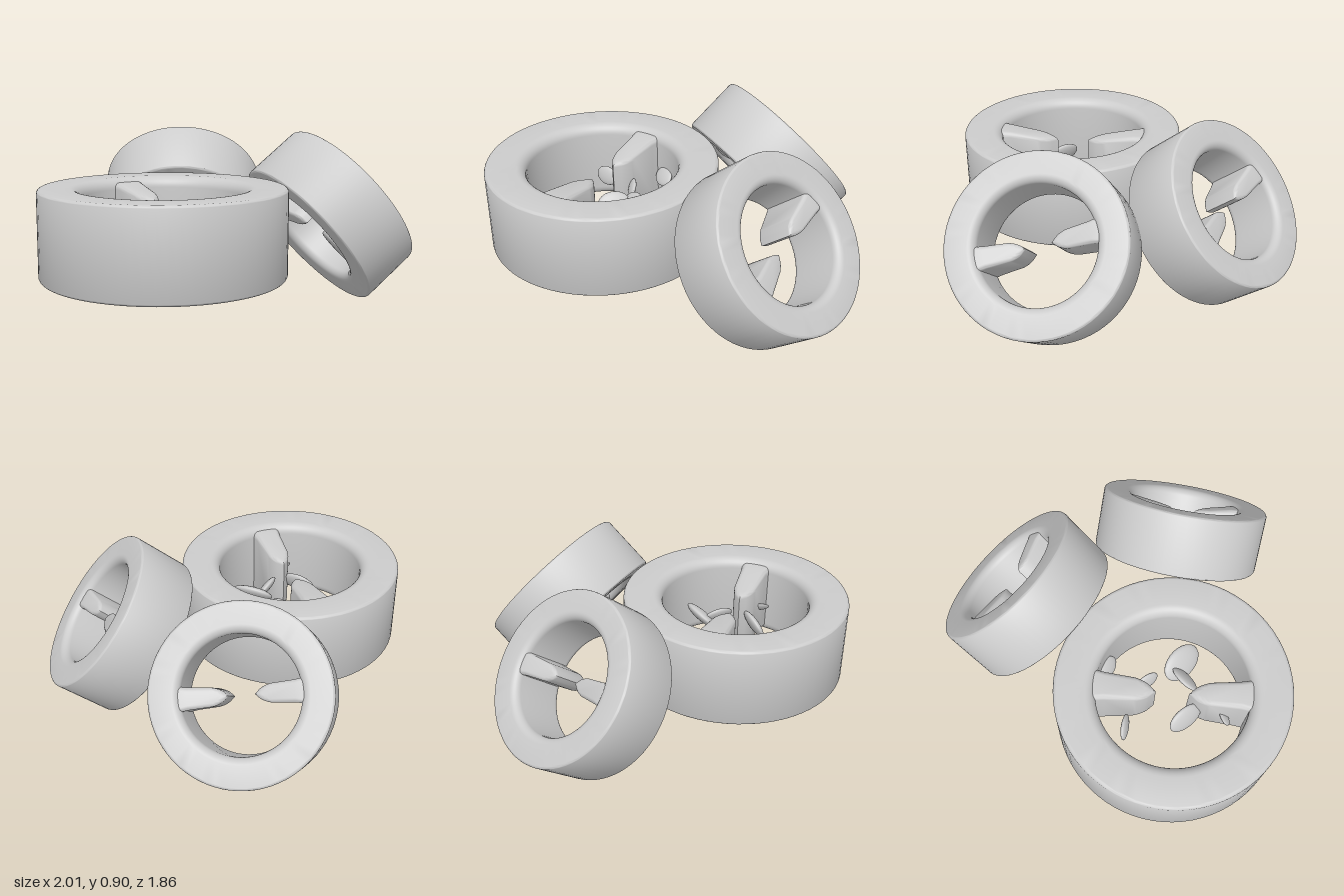
import * as THREE from 'three';
import { toCreasedNormals } from 'three/addons/utils/BufferGeometryUtils.js';

const material = new THREE.MeshStandardMaterial({ color: 0xcccccc });
const OUTER = 0.605, BORE = 0.395, HALF = 0.22;

// Lathed ring body: small outer rounding, broad rounding into the bore
function bodyGeometry() {
  const pts = [];
  const corner = (r, y, rad, from) => {
    for (let i = 0; i <= 8; i++) {
      const a = from + (i / 8) * Math.PI / 2;
      pts.push(new THREE.Vector2(r + rad * Math.cos(a), y + rad * Math.sin(a)));
    }
  };
  const o = 0.02, b = 0.055;
  corner(OUTER - o, -HALF + o, o, -Math.PI / 2);
  corner(OUTER - o, HALF - o, o, 0);
  corner(BORE + b, HALF - b, b, Math.PI / 2);
  corner(BORE + b, -HALF + b, b, Math.PI);
  pts.push(pts[0].clone());
  return toCreasedNormals(new THREE.LatheGeometry(pts, 72), 0.6);
}

// Blade standing on the bore wall, pointed toward the ring's middle and lower at its tip
function bladeGeometry() {
  const s = new THREE.Shape();
  s.moveTo(0.43, -0.06);
  s.lineTo(0.35, -0.045);
  s.lineTo(0.2, -0.035);
  s.quadraticCurveTo(0.15, -0.025, 0.125, 0);
  s.quadraticCurveTo(0.15, 0.025, 0.2, 0.035);
  s.lineTo(0.35, 0.045);
  s.lineTo(0.43, 0.06);
  s.closePath();
  const bevel = 0.028;
  const g = new THREE.ExtrudeGeometry(s, {
    depth: 0.4 - 2 * bevel, bevelSize: bevel, bevelThickness: bevel, bevelSegments: 5, curveSegments: 6,
  });
  g.translate(0, 0, -0.2 + bevel);
  g.rotateX(-Math.PI / 2);
  const p = g.attributes.position;
  for (let i = 0; i < p.count; i++) {
    const t = THREE.MathUtils.clamp((0.4 - p.getX(i)) / 0.3, 0, 1);
    p.setY(i, p.getY(i) * (1 - 0.25 * t));
  }
  return toCreasedNormals(g, 0.7);
}

function part(geometry, name) {
  const mesh = new THREE.Mesh(geometry, material);
  mesh.name = name;
  return mesh;
}

export function createModel() {
  const model = new THREE.Group();
  model.name = 'bladedRings';
  const body = bodyGeometry(), blade = bladeGeometry();

  // Ring with two opposed blades; heading, lean and spin place its axis
  function ring(name, x, z, scale, heading, lean, spin) {
    const g = new THREE.Group();
    g.name = name;
    g.add(part(body, 'ringBody'));
    for (const side of [-1, 1]) {
      const m = part(blade, 'blade');
      m.rotation.y = side * Math.PI / 2;
      g.add(m);
    }
    g.position.set(x, 0.457, z);
    g.scale.setScalar(scale);
    g.rotateY(heading).rotateZ(-lean).rotateY(spin);
    model.add(g);
    return g;
  }
  const big = ring('largeRing', -0.398, 0.32, 1, 0, 0, 0);
  ring('sideRing', 0.597, 0.32, 0.75, -0.14, 0.9, 0.35);
  ring('rearRing', 0.147, -0.5, 0.75, 1.047, 0.9, 0.2);

  // Loose lens-shaped flakes inside the large ring: x, y, z, radius, heading, roll
  const lens = new THREE.SphereGeometry(1, 24, 16);
  const flakes = [
    [-0.157, -0.03, -0.23, 0.07, -0.1, 1.35],
    [0.148, 0, -0.345, 0.07, -0.5, 0.9],
    [0.088, 0.01, -0.13, 0.065, -0.9, 1.2],
    [-0.092, 0, 0.08, 0.1, -0.85, 1.1],
    [0.113, 0.02, 0.065, 0.085, 0.8, 1.0],
    [0.203, 0.01, 0.045, 0.115, -0.72, 0.8],
    [-0.072, 0, 0.28, 0.05, 0.4, 0.9],
  ];
  for (const [x, y, z, r, heading, roll] of flakes) {
    const m = part(lens, 'flake');
    m.position.set(x, y, z);
    m.scale.set(r, r * 0.25, r * 0.75);
    m.rotateY(heading).rotateX(roll);
    big.add(m);
  }
  return model;
}
